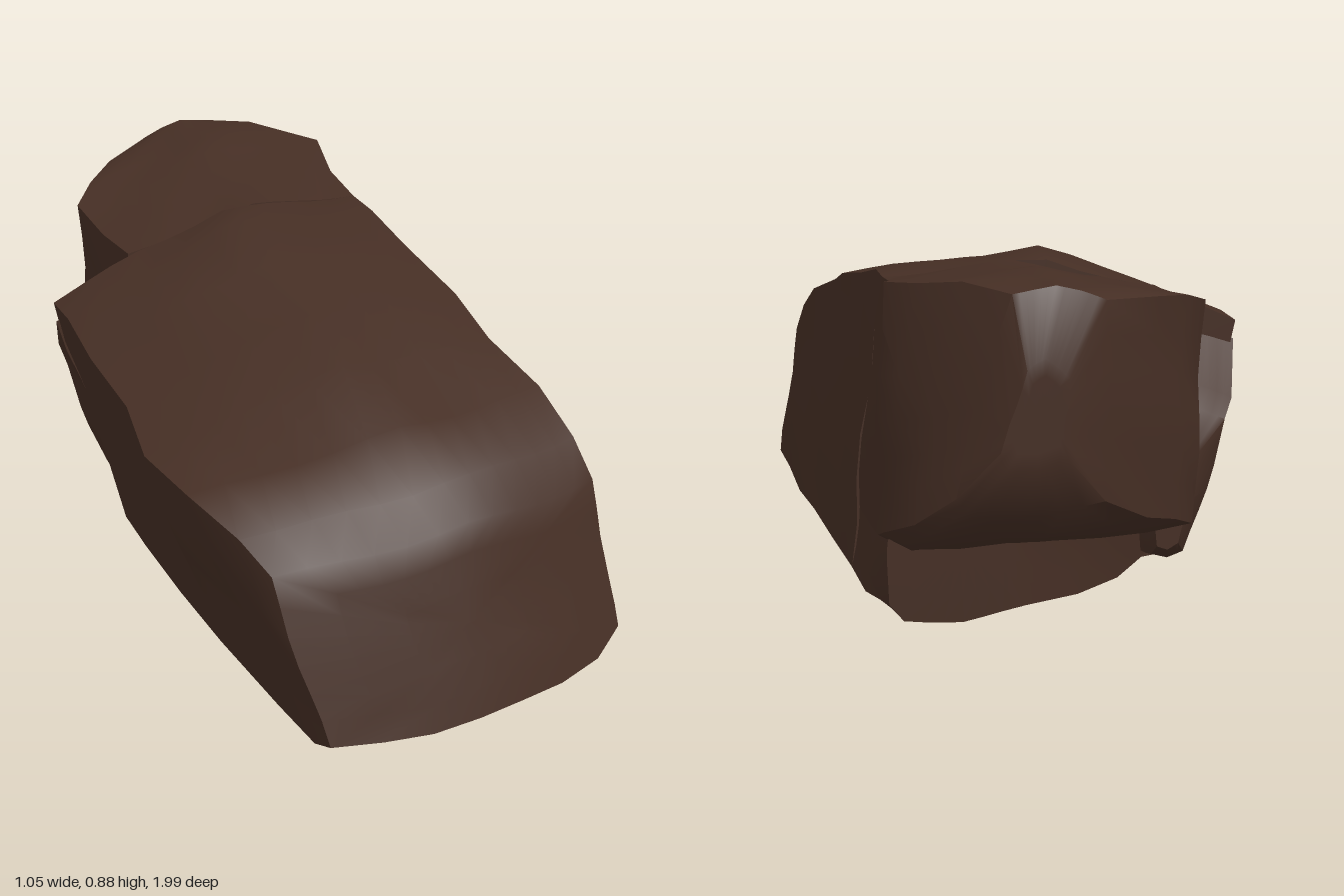
import * as THREE from 'three';
import { toCreasedNormals } from 'three/addons/utils/BufferGeometryUtils.js';

const SUB = 3; // subdivisions of every section edge
const mix = THREE.MathUtils.lerp;

// Outline of one section, counter-clockwise from the lower left; scale shrinks it to its middle
function outline([z, xLb, xL, yL, yC, xR, yR, xRb, yB], scale = 1) {
  const corners = [
    [xLb, yB + 0.015], [mix(xLb, xRb, 0.45), yB], [mix(xLb, xRb, 0.9), yB + 0.01],
    [xRb, yB + 0.05], [mix(xRb, xR, 0.45) + 0.01, mix(yB, yR, 0.5)],
    [xR, yR], [mix(xL, xR, 0.78), mix(yR, yC, 0.65)],
    [mix(xL, xR, 0.55), yC], [mix(xL, xR, 0.27), mix(yL, yC, 0.56)],
    [xL, yL], [mix(xL, xLb, 0.52), mix(yL, yB, 0.5)],
  ];
  const midX = (xL + xLb + xR + xRb) / 4;
  const midY = (yB + yC) / 2;
  const points = [];
  corners.forEach((a, i) => {
    const b = corners[(i + 1) % corners.length];
    for (let k = 0; k < SUB; k++) {
      const x = mix(a[0], b[0], k / SUB);
      const y = mix(a[1], b[1], k / SUB);
      points.push(weather(mix(midX, x, scale), mix(midY, y, scale), z));
    }
  });
  return points;
}

// Lean the front face back, round it in plan and roughen the surface
function weather(x, y, z) {
  const lean = THREE.MathUtils.clamp((z - 0.3) / 0.6, 0, 1);
  const rough = 0.006;
  return new THREE.Vector3(
    x + rough * Math.sin(17 * y + 13 * z),
    Math.max(0, y + rough * Math.sin(15 * x + 19 * z)),
    z - lean * (0.3 * y + 0.35 * (x + 0.05) ** 2),
  );
}

// Skin a row of sections from front to back; shrinking rings close both ends
function loft(rows) {
  const first = rows[0];
  const last = rows[rows.length - 1];
  const rings = [
    ...[0, 0.35, 0.7].map((s) => outline(first, s)),
    ...rows.map((row) => outline(row)),
    ...[0.7, 0.35, 0].map((s) => outline(last, s)),
  ];
  const n = rings[0].length;
  const pos = [];
  const tri = (...v) => v.forEach((p) => pos.push(p.x, p.y, p.z));
  for (let i = 0; i < rings.length - 1; i++) {
    for (let j = 0; j < n; j++) {
      const k = (j + 1) % n;
      const [a, b, c, d] = [rings[i][j], rings[i][k], rings[i + 1][j], rings[i + 1][k]];
      if (i > 0) tri(a, c, b);
      if (i < rings.length - 2) tri(b, c, d);
      if (i === 0) tri(a, c, d);
    }
  }
  // The innermost front ring is a point, so its fan replaces the usual second triangle
  const g = new THREE.BufferGeometry();
  g.setAttribute('position', new THREE.Float32BufferAttribute(pos, 3));
  return toCreasedNormals(g, 0.72);
}

// Columns: z, lower left x, upper left x and y, crest y, upper right x and y, lower right x, base y
const PARTS = {
  mainSlab: [
    [1.0, -0.34, -0.42, 0.42, 0.45, 0.46, 0.43, 0.50, 0.01],
    [0.95, -0.35, -0.46, 0.49, 0.53, 0.45, 0.52, 0.515, 0],
    [0.77, -0.35, -0.51, 0.53, 0.60, 0.44, 0.59, 0.52, 0],
    [0.45, -0.36, -0.53, 0.54, 0.67, 0.42, 0.65, 0.52, 0.005],
    [0.2, -0.36, -0.49, 0.58, 0.73, 0.42, 0.71, 0.52, 0.02],
    [-0.05, -0.35, -0.48, 0.61, 0.78, 0.42, 0.76, 0.51, 0.02],
    [-0.22, -0.33, -0.48, 0.64, 0.83, 0.42, 0.79, 0.51, 0.02],
    [-0.34, -0.30, -0.47, 0.65, 0.82, 0.42, 0.80, 0.51, 0.03],
  ],
  lowerBack: [
    [-0.34, -0.24, -0.24, 0.40, 0.45, 0.44, 0.45, 0.51, 0.03],
    [-0.5, -0.12, -0.15, 0.40, 0.45, 0.44, 0.45, 0.50, 0.035],
    [-0.61, 0.02, -0.02, 0.40, 0.45, 0.44, 0.45, 0.495, 0.045],
    [-0.69, 0.18, 0.14, 0.40, 0.45, 0.45, 0.45, 0.49, 0.06],
  ],
  backOverhang: [
    [-0.34, -0.24, -0.26, 0.74, 0.82, 0.42, 0.80, 0.49, 0.18],
    [-0.5, -0.25, -0.26, 0.75, 0.84, 0.43, 0.82, 0.49, 0.19],
    [-0.67, -0.25, -0.26, 0.77, 0.868, 0.485, 0.85, 0.50, 0.22],
    [-0.75, -0.18, -0.19, 0.80, 0.88, 0.43, 0.87, 0.50, 0.26],
    [-0.84, -0.08, -0.10, 0.82, 0.885, 0.35, 0.875, 0.45, 0.30],
    [-0.94, 0.05, 0.05, 0.84, 0.885, 0.26, 0.875, 0.38, 0.38],
    [-1.0, 0.15, 0.16, 0.69, 0.74, 0.25, 0.72, 0.30, 0.50],
  ],
  sideLedge: [
    [-0.33, -0.30, -0.465, 0.60, 0.63, -0.22, 0.61, -0.22, 0.05],
    [-0.45, -0.30, -0.425, 0.48, 0.53, -0.20, 0.52, -0.20, 0.08],
    [-0.5, -0.29, -0.39, 0.44, 0.49, -0.20, 0.48, -0.20, 0.10],
    [-0.55, -0.26, -0.30, 0.38, 0.42, -0.20, 0.40, -0.20, 0.14],
  ],
};

export function createModel() {
  const stone = new THREE.MeshStandardMaterial({ color: 0x452e24 });
  stone.name = 'dark brown stone';
  const rock = new THREE.Group();
  rock.name = 'rock';
  for (const [name, rows] of Object.entries(PARTS)) {
    const mesh = new THREE.Mesh(loft(rows), stone);
    mesh.name = name;
    rock.add(mesh);
  }
  return rock;
}
